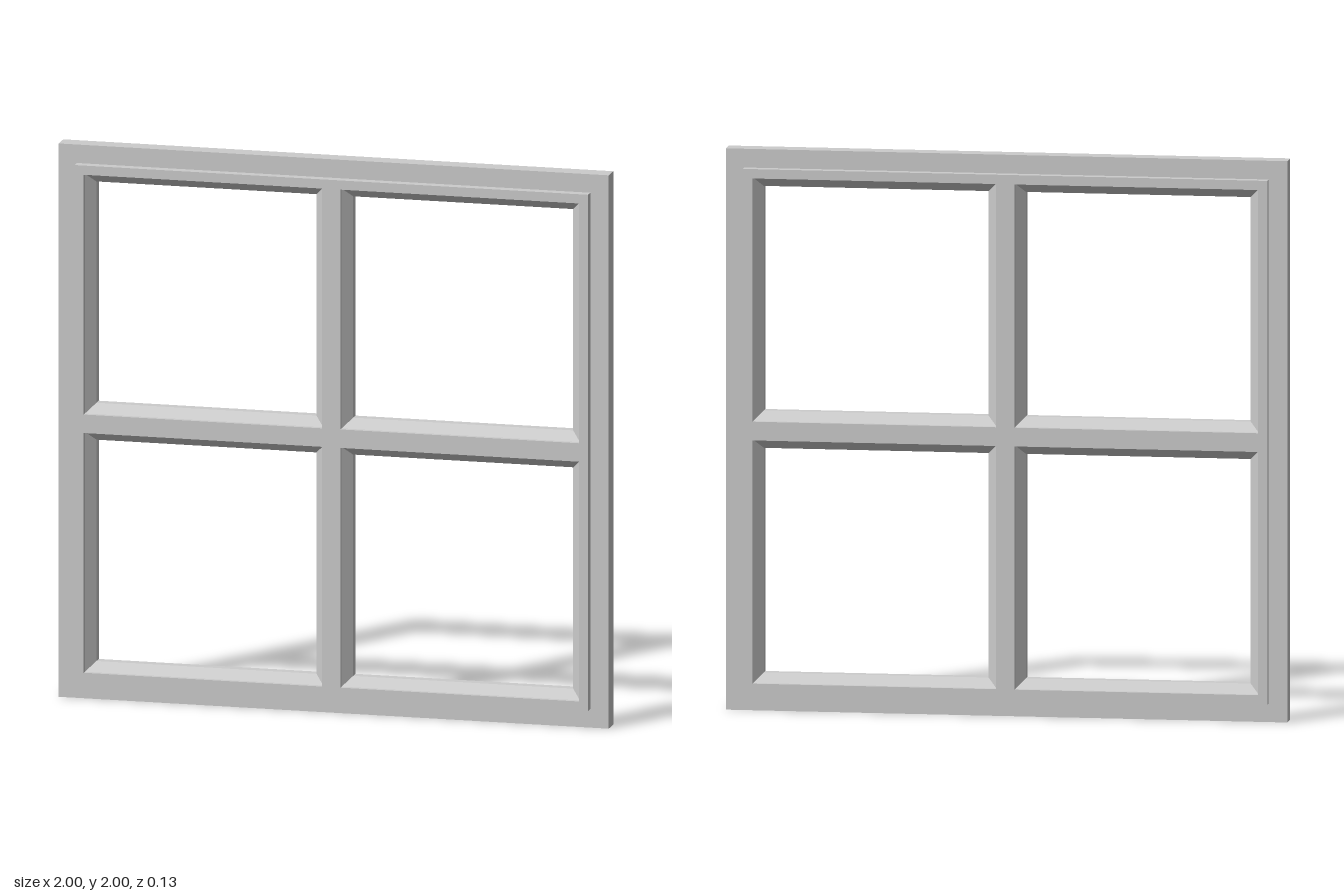
import * as THREE from 'three';

const CORNERS = [[-1, -1], [1, -1], [1, 1], [-1, 1]];

// Skin running through square loops given as [halfSize, z], from front to back
function squareSkin(profile, inward) {
  const pos = [];
  for (let k = 0; k < profile.length - 1; k++) {
    for (let i = 0; i < 4; i++) {
      const at = (row, c) => {
        const [half, z] = profile[row];
        const [x, y] = CORNERS[c % 4];
        return [x * half, y * half, z];
      };
      const a = at(k, i), b = at(k + 1, i), c = at(k + 1, i + 1), d = at(k, i + 1);
      const tris = inward ? [a, c, b, a, d, c] : [a, b, c, a, c, d];
      tris.forEach(p => pos.push(...p));
    }
  }
  const g = new THREE.BufferGeometry();
  g.setAttribute('position', new THREE.Float32BufferAttribute(pos, 3));
  g.computeVertexNormals();
  return g;
}

function squarePoints(cx, cy, half) {
  return CORNERS.map(([x, y]) => new THREE.Vector2(cx + x * half, cy + y * half));
}

export function createModel() {
  const model = new THREE.Group();
  model.name = 'window';
  const material = new THREE.MeshStandardMaterial({ color: 0xcccccc, flatShading: true });
  const add = (geometry, name, x = 0, y = 1, z = 0) => {
    const mesh = new THREE.Mesh(geometry, material);
    mesh.name = name;
    mesh.position.set(x, y, z);
    model.add(mesh);
    return mesh;
  };

  const face = 0.0667, flange = 0.0333;      // half depths
  const sash = 0.9333, opening = 0.4333;     // half widths
  const paneCentre = 0.4667;

  // Outer frame: thin flange around the thicker sash
  add(squareSkin([
    [sash, face], [sash, flange], [1, flange],
    [1, -flange], [sash, -flange], [sash, -face],
  ], false), 'outerFrame');

  // Front and back faces of the sash and its cross bars
  const shape = new THREE.Shape(squarePoints(0, 0, sash));
  for (const [x, y] of CORNERS) {
    shape.holes.push(new THREE.Path(squarePoints(x * paneCentre, y * paneCentre, opening)));
  }
  const sashFace = new THREE.ShapeGeometry(shape);
  add(sashFace, 'frontSashFace', 0, 1, face);
  add(sashFace, 'backSashFace', 0, 1, -face).rotation.y = Math.PI;

  // Moulding lining each opening: step, bevel, inner edge, mirrored to the back
  const lining = squareSkin([
    [opening, face], [opening, 0.05], [0.4, 0.0167],
    [0.4, -0.0167], [opening, -0.05], [opening, -face],
  ], true);
  for (const [x, y] of CORNERS) {
    const name = (y > 0 ? 'upper' : 'lower') + (x > 0 ? 'Left' : 'Right') + 'PaneMoulding';
    add(lining, name, x * paneCentre, 1 + y * paneCentre);
  }
  return model;
}
